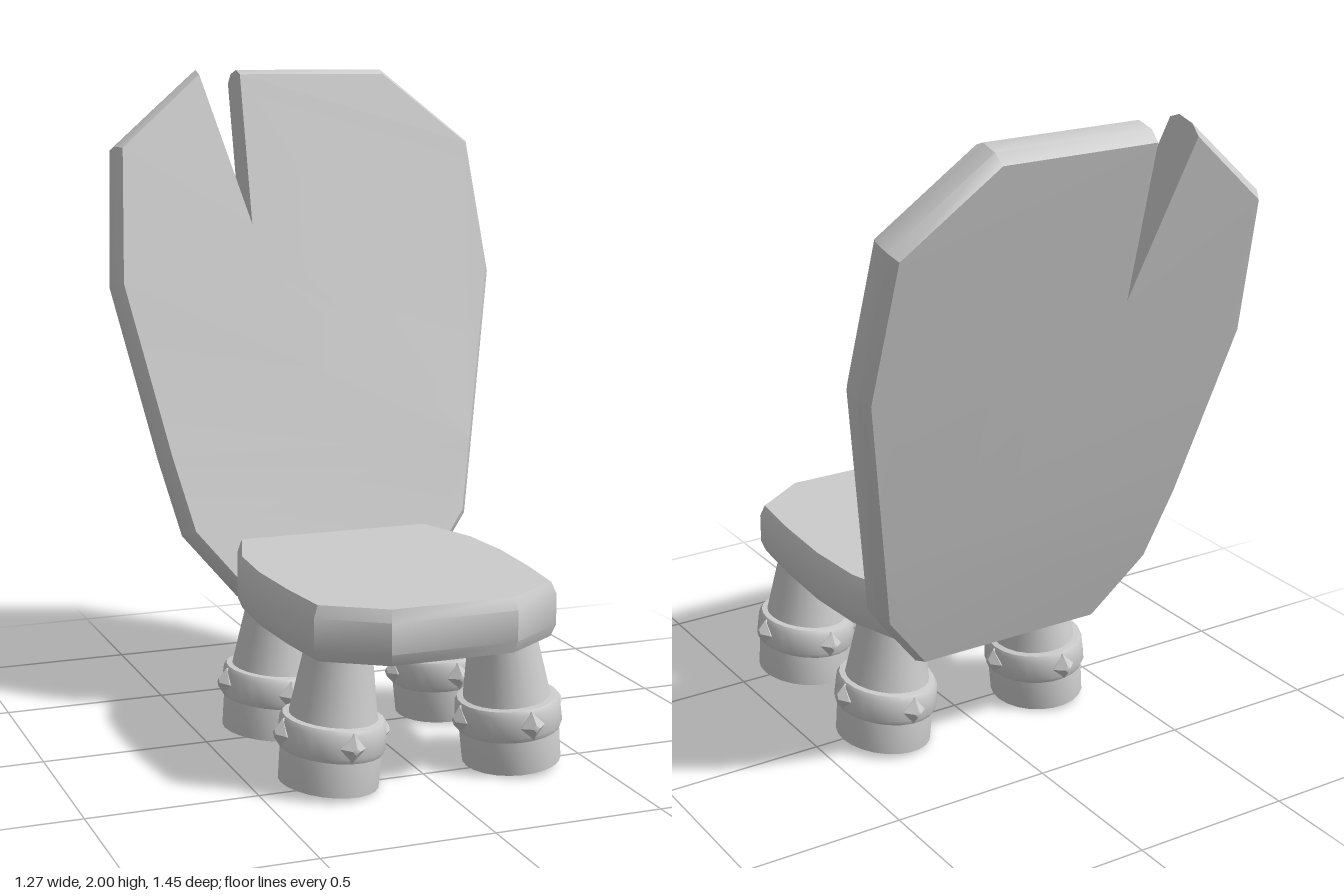
import * as THREE from 'three';
import { toCreasedNormals } from 'three/addons/utils/BufferGeometryUtils.js';

const material = new THREE.MeshStandardMaterial({ color: 0xcccccc });

function addMesh(parent, name, geometry) {
  const mesh = new THREE.Mesh(geometry, material);
  mesh.name = name;
  parent.add(mesh);
  return mesh;
}

// Bevelled slab: outline points are [u, v, du, dv], where (du, dv) is the outward
// direction of the bevel; layers are [depth, inset]; place maps (u, v, depth) to space.
// Each cap is folded along v = fold.
function slab(outline, layers, place, fold = -Infinity) {
  const n = outline.length;
  const positions = [], index = [];
  for (const [depth, inset] of layers) {
    for (const [u, v, du, dv] of outline) {
      positions.push(...place(u - du * inset, v - dv * inset, depth));
    }
  }
  for (let k = 0; k < layers.length - 1; k++) {
    for (let i = 0; i < n; i++) {
      const a = k * n + i, b = k * n + (i + 1) % n;
      index.push(a, a + n, b, b, a + n, b + n);
    }
  }
  const last = (layers.length - 1) * n;
  const all = outline.map((p, i) => i);
  for (const ids of [all.filter(i => outline[i][1] >= fold), all.filter(i => outline[i][1] <= fold)]) {
    if (ids.length < 3) continue;
    const contour = ids.map(i => new THREE.Vector2(outline[i][0], outline[i][1]));
    for (const [a, b, c] of THREE.ShapeUtils.triangulateShape(contour, [])) {
      index.push(ids[a], ids[b], ids[c], last + ids[a], last + ids[c], last + ids[b]);
    }
  }
  const g = new THREE.BufferGeometry();
  g.setAttribute('position', new THREE.Float32BufferAttribute(positions, 3));
  g.setIndex(index);
  return toCreasedNormals(g.toNonIndexed(), 0.6);
}

const mirrored = half => half.map(([u, v, du, dv]) => [-u, v, -du, dv]).reverse();

// Leaning backrest with a split in its top edge
function backrest() {
  const fold = 0.82;
  const rightSide = [
    [0.31, 0.39, 0.5, -0.8], [0.47, 0.585, 0.9, -0.4], [0.525, fold, 1, 0],
    [0.635, 1.35, 1, 0], [0.6, 1.775, 0.8, 0.5],
  ];
  const outline = [
    ...rightSide,
    [0.315, 2.01, 0.3, 1],
    [-0.18, 2.01, 0, 1], [-0.18, 1.52, 0, 0], [-0.315, 2.01, 0, 1],
    ...mirrored(rightSide),
  ];
  const place = (u, v, d) => [
    u, v - 0.24 * d,
    -0.315 - (v - fold) * (v > fold ? 0.245 : 0.3) - 0.97 * d,
  ];
  return slab(outline, [[0, 0.022], [0.035, 0], [0.095, 0], [0.13, 0.022]], place, fold);
}

// Seat slab with a tapered front
function seat() {
  const half = [
    [0.19, -0.725, 0.4, 1], [0.37, -0.6, 0.9, 0.5], [0.392, -0.4, 1, 0],
    [0.403, -0.18, 1, 0], [0.39, 0.02, 1, 0], [0.32, 0.235, 0.9, 0],
  ].map(([u, v, du, dv]) => [u, v, du, -dv]);
  const place = (u, v, d) => [u, 0.56 - d, -v];
  return slab([...half, ...mirrored(half)], [[0, 0.015], [0.035, 0], [0.125, 0], [0.16, 0.015]], place);
}

// Tapered leg with a foot, a raised band and four studs
function leg() {
  const group = new THREE.Group();
  const lathe = pts => toCreasedNormals(
    new THREE.LatheGeometry(pts.map(p => new THREE.Vector2(...p)), 24).toNonIndexed(), 0.6);
  addMesh(group, 'legPost', lathe([[0, 0], [0.16, 0], [0.162, 0.1], [0.142, 0.19], [0.105, 0.4], [0.1, 0.44], [0, 0.44]]));
  addMesh(group, 'legBand', lathe([[0.14, 0.095], [0.166, 0.1], [0.173, 0.115], [0.17, 0.178], [0.161, 0.192], [0.138, 0.195]]));
  for (let i = 0; i < 4; i++) {
    const pivot = new THREE.Group();
    pivot.name = 'studPivot';
    pivot.rotation.y = i * Math.PI / 2;
    // Blunt four-sided stud on a diamond base
    const profile = [[0, 0.04], [0.012, 0.037], [0.042, 0.012], [0.05, -0.02], [0, -0.02]];
    const geometry = new THREE.LatheGeometry(profile.reverse().map(p => new THREE.Vector2(...p)), 4);
    const stud = addMesh(pivot, 'stud', toCreasedNormals(geometry.toNonIndexed(), 0.5));
    stud.rotation.x = Math.PI / 2;
    stud.position.set(0, 0.145, 0.158);
    group.add(pivot);
  }
  group.scale.x = 0.89;
  return group;
}

export function createModel() {
  const model = new THREE.Group();
  model.name = 'chair';
  addMesh(model, 'backrest', backrest());
  addMesh(model, 'seat', seat());
  // Splayed legs
  for (const side of [-1, 1]) {
    for (const [name, z] of [['frontLeg', 0.483], ['rearLeg', -0.04]]) {
      const l = leg();
      l.name = (side > 0 ? 'left' : 'right') + name[0].toUpperCase() + name.slice(1);
      l.position.set(side * 0.287, 0.012, z);
      l.rotation.z = side * 0.085;
      model.add(l);
    }
  }
  return model;
}
